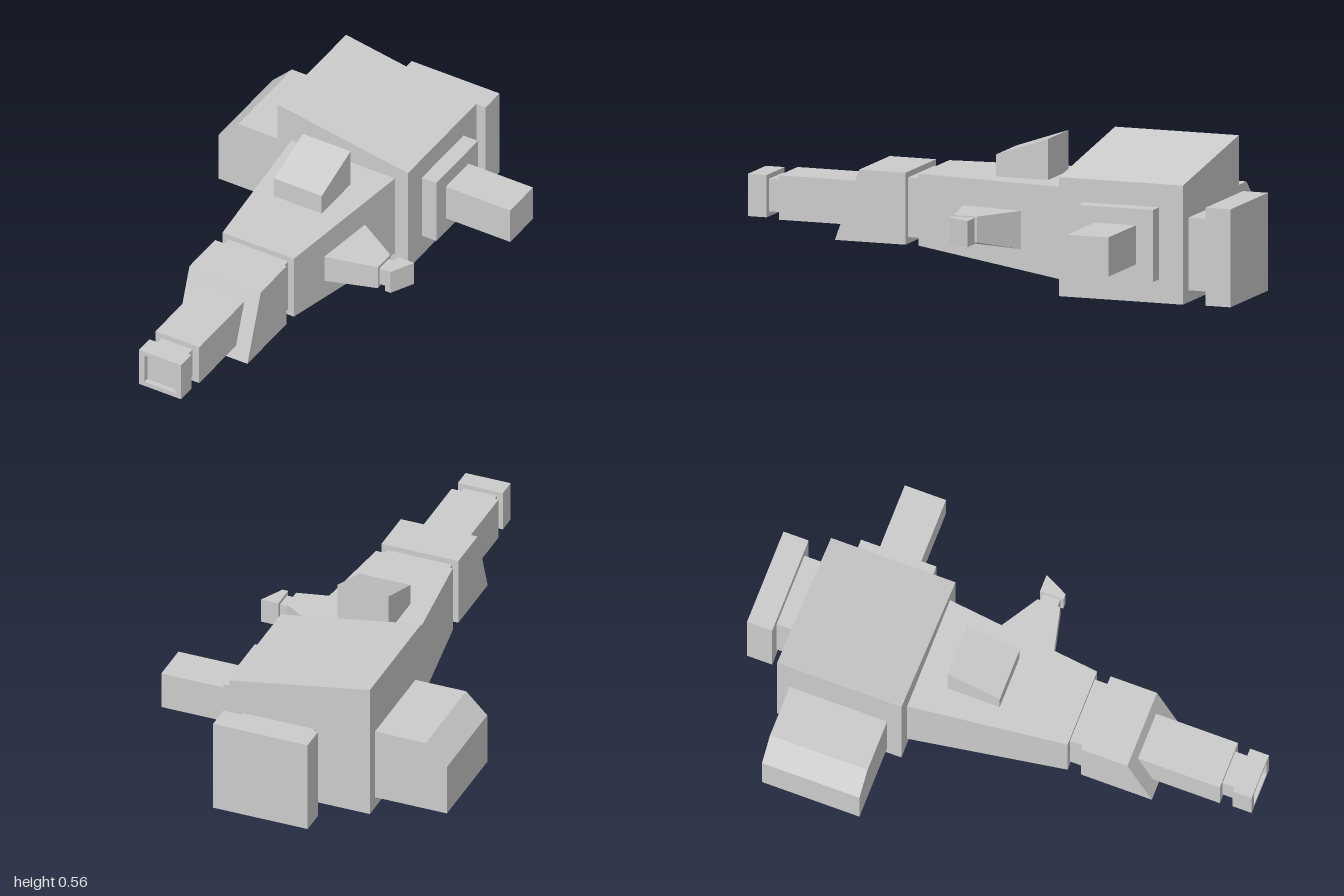
import * as THREE from 'three';

const grey = new THREE.MeshStandardMaterial({ color: 0xcccccc, flatShading: true });

// Box given by its extents; warp(p, t) may move each corner, where t holds
// the corner's 0..1 position along every axis.
function block(name, [x0, x1], [y0, y1], [z0, z1], warp) {
  const geo = new THREE.BoxGeometry(1, 1, 1).translate(0.5, 0.5, 0.5);
  const pos = geo.attributes.position;
  const t = new THREE.Vector3(), p = new THREE.Vector3();
  for (let i = 0; i < pos.count; i++) {
    t.fromBufferAttribute(pos, i);
    p.set(x0 + (x1 - x0) * t.x, y0 + (y1 - y0) * t.y, z0 + (z1 - z0) * t.z);
    if (warp) warp(p, t);
    pos.setXYZ(i, p.x, p.y, p.z);
  }
  geo.computeVertexNormals();
  const mesh = new THREE.Mesh(geo, grey);
  mesh.name = name;
  return mesh;
}

// Outline in the xy plane extruded from z0 to z1, with an optional hole
function extrude(name, points, z0, z1, hole) {
  const toVectors = (list) => list.map(([x, y]) => new THREE.Vector2(x, y));
  const shape = new THREE.Shape(toVectors(points));
  if (hole) shape.holes.push(new THREE.Path(toVectors(hole)));
  const geo = new THREE.ExtrudeGeometry(shape, { depth: z1 - z0, bevelEnabled: false });
  geo.translate(0, 0, z0);
  const mesh = new THREE.Mesh(geo, grey);
  mesh.name = name;
  return mesh;
}

const rect = (x0, x1, y0, y1) => [[x0, y0], [x1, y0], [x1, y1], [x0, y1]];

export function createModel() {
  const model = new THREE.Group();
  model.name = 'blaster';

  // Rear housing with sloping roof, and the chamfered pod on its right side
  model.add(
    extrude('housing', [[-0.31, 0], [0.257, 0], [0.257, 0.45], [-0.31, 0.547]], -0.815, -0.32),
    extrude('sidePod', [[-0.6, 0.045], [-0.31, 0.045], [-0.31, 0.335], [-0.515, 0.335], [-0.6, 0.25]],
      -0.765, -0.377),
  );

  // Left side plate with grip, and the end plate on its neck
  model.add(
    block('gripPlate', [0.257, 0.32], [0.09, 0.362], [-0.72, -0.42]),
    block('grip', [0.32, 0.6], [0.152, 0.3], [-0.652, -0.488]),
    block('endNeck', [-0.09, 0.2], [0.045, 0.32], [-0.9, -0.815]),
    block('endPlate', [-0.137, 0.245], [0, 0.37], [-1, -0.9]),
  );

  // Body narrowing towards the front
  model.add(block('body', [-0.25, 0.2], [0.05, 0.402], [-0.32, 0.292], (p, t) => {
    if (t.z === 1) {
      p.x = t.x ? 0.13 : -0.18;
      if (t.y === 0) p.y = 0.13;
    }
  }));

  // Wedge on the top
  model.add(block('topWedge', [-0.13, 0.077], [0.4, 0.557], [-0.205, 0.003], (p, t) => {
    if (t.y && t.z) p.y = 0.485;
  }));

  // Collar with a raked front, then the barrel
  model.add(
    block('collarNeck', [-0.155, 0.105], [0.155, 0.38], [0.292, 0.345]),
    block('collar', [-0.18, 0.13], [0.13, 0.402], [0.345, 0.627], (p, t) => {
      if (t.y && t.z) p.z = 0.53;
    }),
    block('barrel', [-0.12, 0.07], [0.18, 0.348], [0.5, 0.875]),
    block('muzzleNeck', [-0.092, 0.042], [0.204, 0.327], [0.875, 0.925]),
  );

  // Muzzle with a shallow square recess
  model.add(
    block('muzzleBase', [-0.116, 0.066], [0.185, 0.345], [0.925, 0.98]),
    extrude('muzzleRim', rect(-0.116, 0.066, 0.185, 0.345), 0.98, 1, rect(-0.092, 0.042, 0.204, 0.327)),
  );

  // Tapered bracket on the left side with a slanted tip
  model.add(
    block('bracket', [0.15, 0.355], [0.2, 0.298], [-0.03, 0.06], (p, t) => {
      if (t.x) return;
      p.x = t.z ? 0.15 : 0.18;
      p.z = t.z ? 0.108 : -0.138;
      if (t.y === 0) p.y = t.z ? 0.185 : 0.153;
    }),
    block('tipNeck', [0.355, 0.387], [0.213, 0.285], [-0.02, 0.048]),
    block('tip', [0.387, 0.457], [0.2, 0.298], [-0.033, 0.06], (p, t) => {
      if (t.x && t.z) p.x = 0.41;
    }),
  );

  return model;
}
